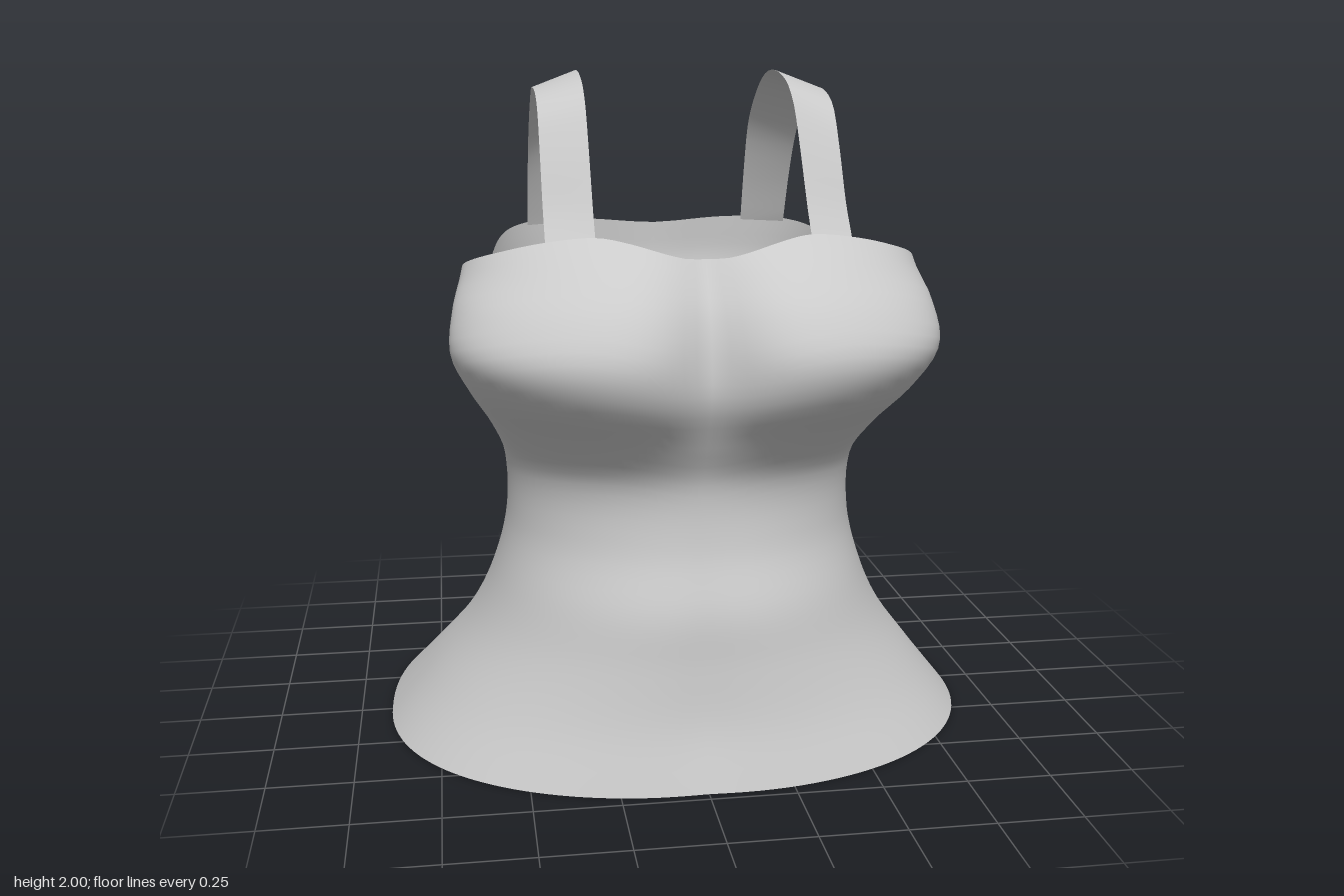
import * as THREE from 'three';

// Body levels: y, half width, z of widest point, front z, back z, front crease, back crease,
// front roundness, back roundness, narrowing of the back half
const LEVELS = [
  [0.00, 0.91, 0.00, 0.73, -0.88, 0.01, 0.03, 2.2, 2.35, 0],
  [0.17, 0.775, 0.02, 0.69, -0.65, 0.02, 0.03, 2.15, 2.25, 0],
  [0.34, 0.65, 0.05, 0.67, -0.43, 0.02, 0.03, 2.1, 2.15, 0],
  [0.50, 0.575, 0.08, 0.66, -0.375, 0.02, 0.03, 2.0, 2.1, 0],
  [0.68, 0.53, 0.10, 0.61, -0.36, 0.015, 0.03, 1.9, 2.1, 0],
  [0.87, 0.535, 0.12, 0.61, -0.375, 0.015, 0.035, 1.9, 2.2, 0.02],
  [1.00, 0.58, 0.24, 0.70, -0.39, 0.04, 0.04, 2.0, 2.5, 0.05],
  [1.13, 0.645, 0.37, 0.825, -0.415, 0.10, 0.04, 2.2, 2.8, 0.09],
  [1.25, 0.695, 0.44, 0.865, -0.45, 0.14, 0.04, 2.3, 3.0, 0.115],
  [1.37, 0.685, 0.39, 0.825, -0.475, 0.13, 0.035, 2.2, 3.0, 0.115],
  [1.47, 0.655, 0.31, 0.75, -0.47, 0.11, 0.03, 2.1, 3.0, 0.09],
  [1.58, 0.65, 0.25, 0.635, -0.46, 0.06, 0.025, 2.0, 3.0, 0.08],
];

// Neckline height by angle from the front centre, in degrees
const NECKLINE = [
  [0, 1.51], [5, 1.515], [18, 1.555], [27, 1.57], [41, 1.555], [57, 1.525], [75, 1.49], [85, 1.465],
  [90, 1.44], [95, 1.385], [103, 1.33], [112, 1.36], [124, 1.47], [143, 1.51], [165, 1.51], [180, 1.495],
];

// Smooth (cubic) lookup in a table sorted by its first column
function lookup(table, t) {
  const last = table.length - 1;
  let i = 0;
  while (i < last - 1 && t > table[i + 1][0]) i++;
  const a = table[i], b = table[i + 1], span = b[0] - a[0];
  const k = THREE.MathUtils.clamp((t - a[0]) / span, 0, 1);
  const before = table[Math.max(i - 1, 0)], after = table[Math.min(i + 2, last)];
  return a.map((v, j) => {
    const m0 = (b[j] - before[j]) / (b[0] - before[0]) * span;
    const m1 = (after[j] - v) / (after[0] - a[0]) * span;
    const d = b[j] - v;
    return v + k * (m0 + k * (3 * d - 2 * m0 - m1 + k * (m0 + m1 - 2 * d)));
  });
}

// Rounded outline point: superellipse halves with a soft crease at the centre line
function bodyPoint(angle, y) {
  const [, w, zWide, zFront, zBack, creaseF, creaseB, roundF, roundB, narrow] = lookup(LEVELS, y);
  const s = Math.sin(angle), c = Math.cos(angle), front = c > 0;
  const e = 2 / (front ? roundF : roundB);
  const depth = Math.abs(c) ** e;
  const taper = 1 - narrow * THREE.MathUtils.smoothstep(front ? -depth : depth, -0.25, 0.5);
  const x = w * taper * Math.sign(s) * Math.abs(s) ** e;
  let z = zWide + ((front ? zFront : zBack) - zWide) * depth;
  z += front
    ? -creaseF * Math.exp(-((Math.abs(x) / 0.14) ** 1.4))
    : creaseB * Math.exp(-((x / 0.11) ** 2));
  return [x, y, z];
}

function gridGeometry(points, rows, cols, wrap) {
  const index = [];
  for (let r = 0; r < rows - 1; r++) {
    for (let c = 0; c < (wrap ? cols : cols - 1); c++) {
      const n = (c + 1) % cols;
      const a = r * cols + c, b = r * cols + n, d = a + cols, f = b + cols;
      index.push(a, b, d, b, f, d);
    }
  }
  const g = new THREE.BufferGeometry();
  g.setAttribute('position', new THREE.Float32BufferAttribute(points, 3));
  g.setIndex(index);
  g.computeVertexNormals();
  return g;
}

// Open tube from the flared hem up to the neckline
function bodyGeometry() {
  const rows = 48, cols = 144, points = [];
  for (let r = 0; r < rows; r++) {
    for (let c = 0; c < cols; c++) {
      const angle = (c / cols) * Math.PI * 2;
      const deg = Math.min(c, cols - c) * 360 / cols;
      const hem = 0.03 * ((1 - Math.cos(angle)) / 2) ** 2;
      const top = lookup(NECKLINE, deg)[1];
      points.push(...bodyPoint(angle, hem + (top - hem) * r / (rows - 1)));
    }
  }
  return gridGeometry(points, rows, cols, true);
}

// Strap edges as [z, y], front to back
const STRAP_INNER = [[0.6, 1.56], [0.55, 1.62], [0.43, 1.80], [0.35, 1.905], [0.27, 1.96], [0.165, 1.99],
  [0.04, 2.0], [-0.08, 1.98], [-0.22, 1.91], [-0.32, 1.82], [-0.39, 1.65], [-0.435, 1.5]];
const STRAP_OUTER = [[0.53, 1.55], [0.455, 1.64], [0.37, 1.785], [0.285, 1.9], [0.19, 1.94], [0.07, 1.95],
  [0, 1.945], [-0.09, 1.89], [-0.19, 1.80], [-0.275, 1.675], [-0.36, 1.5]];

// Thin tilted ribbon between its two edges
function strapGeometry(side) {
  const edge = (pts, x) => new THREE.CatmullRomCurve3(
    pts.map(([z, y]) => new THREE.Vector3(side * x, y, z))).getSpacedPoints(32);
  const inner = edge(STRAP_INNER, 0.295), outer = edge(STRAP_OUTER, 0.425);
  const [first, second] = side > 0 ? [outer, inner] : [inner, outer];
  const points = [];
  first.forEach((p, i) => points.push(...second[i].toArray(), ...p.toArray()));
  return gridGeometry(points, first.length, 2, false);
}

export function createModel() {
  const model = new THREE.Group();
  model.name = 'strappedTop';
  const material = new THREE.MeshStandardMaterial({ color: 0xcccccc, side: THREE.DoubleSide });
  const add = (name, geometry) => {
    const mesh = new THREE.Mesh(geometry, material);
    mesh.name = name;
    model.add(mesh);
  };
  add('bodice', bodyGeometry());
  add('leftStrap', strapGeometry(1));
  add('rightStrap', strapGeometry(-1));
  return model;
}
